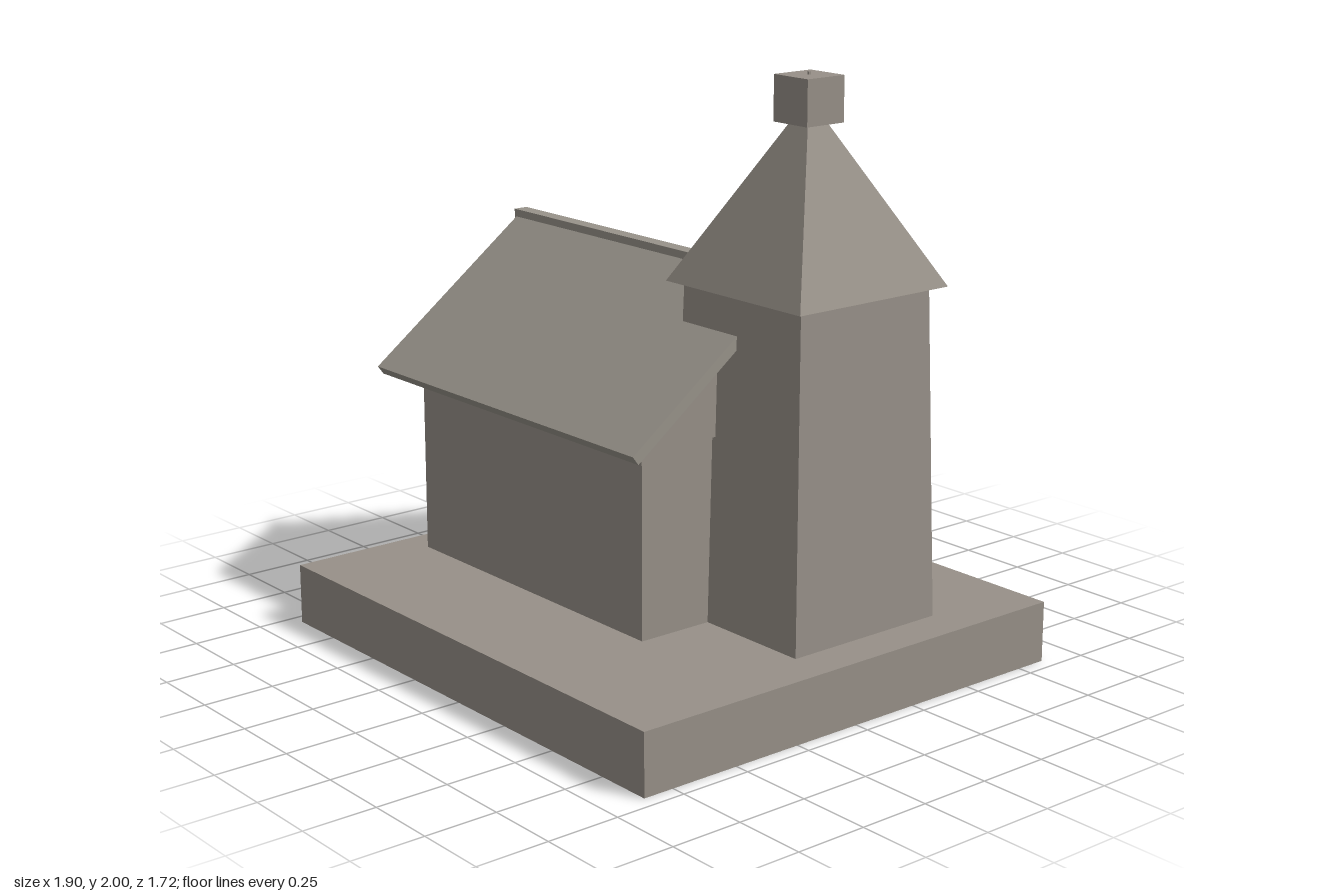
import * as THREE from 'three';

export function createModel() {
  const model = new THREE.Group();
  const stone = new THREE.MeshStandardMaterial({ name: 'stone', color: 0x979088 });
  const roofing = new THREE.MeshStandardMaterial({ name: 'roofing', color: 0x98938a });

  const add = (name, geometry, material) => {
    const mesh = new THREE.Mesh(geometry, material);
    mesh.name = name;
    model.add(mesh);
  };

  // Box given by its low and high corner
  const block = (name, [x0, y0, z0], [x1, y1, z1], material) => {
    const g = new THREE.BoxGeometry(x1 - x0, y1 - y0, z1 - z0);
    add(name, g.translate((x0 + x1) / 2, (y0 + y1) / 2, (z0 + z1) / 2), material);
  };

  // Profile of [distance in front of the ridge, height], extruded along x
  const ridgeZ = -0.105;
  const alongX = (name, points, x0, x1, material) => {
    const shape = new THREE.Shape(points.map(([s, y]) => new THREE.Vector2(-s, y)));
    const g = new THREE.ExtrudeGeometry(shape, { depth: x1 - x0, bevelEnabled: false });
    add(name, g.rotateY(Math.PI / 2).translate(x0, 0, ridgeZ), material);
  };

  // Square frustum standing on the tower axis
  const towerX = 0.5, towerZ = -0.175;
  const frustum = (name, halfBottom, halfTop, y0, y1, material) => {
    const g = new THREE.BoxGeometry(2, y1 - y0, 2).translate(0, (y0 + y1) / 2, 0);
    const p = g.attributes.position;
    const middle = (y0 + y1) / 2;
    for (let i = 0; i < p.count; i++) {
      const half = p.getY(i) > middle ? halfTop : halfBottom;
      p.setX(i, towerX + p.getX(i) * half);
      p.setZ(i, towerZ + p.getZ(i) * half);
    }
    const flat = g.toNonIndexed();
    flat.computeVertexNormals();
    add(name, flat, material);
  };

  // Ground slab and house body
  block('base', [-0.95, 0, -0.86], [0.95, 0.21, 0.86], stone);
  block('houseWalls', [-0.83, 0.21, -0.615], [0.38, 0.84, 0.405], stone);

  // Thin triangular gables at both ends
  const gable = [[0.525, 0.84], [0, 1.32], [-0.525, 0.84]];
  alongX('leftGable', gable, 0.32, 0.395, stone);
  alongX('rightGable', gable, -0.84, -0.77, stone);

  // Sloping roof slabs and ridge beam
  for (const side of [1, -1]) {
    const slab = [[0.63, 0.872], [0, 1.345], [0, 1.3], [0.608, 0.843]];
    alongX(side > 0 ? 'frontRoof' : 'backRoof', slab.map(([s, y]) => [s * side, y]), -0.935, 0.485, roofing);
  }
  block('ridgeBeam', [-0.945, 1.32, -0.135], [0.485, 1.355, -0.083], roofing);

  // Tapered tower, spire, cap and pin
  frustum('tower', 0.305, 0.276, 0.21, 1.32, stone);
  frustum('spire', 0.318, 0.02, 1.32, 1.88, stone);
  frustum('spireCap', 0.078, 0.078, 1.84, 1.99, stone);
  frustum('pin', 0.004, 0.004, 1.98, 2, stone);

  return model;
}
